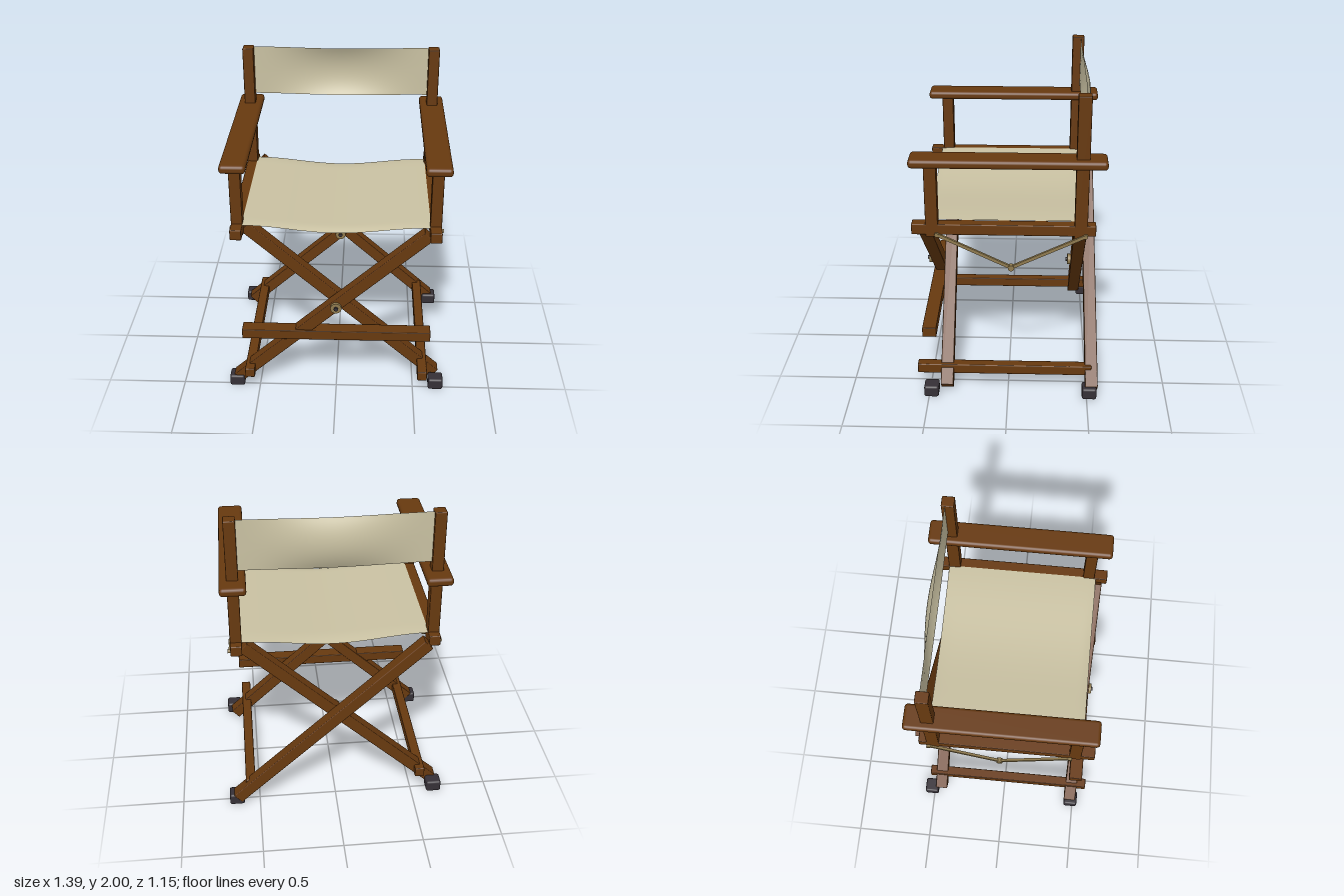
import * as THREE from 'three';
import { RoundedBoxGeometry } from 'three/addons/geometries/RoundedBoxGeometry.js';

const mat = (name, color, side = THREE.FrontSide) => {
  const m = new THREE.MeshStandardMaterial({ color, side });
  m.name = name;
  return m;
};

export function createModel() {
  const wood = mat('brown wood', 0x67390f);
  const canvas = mat('cream canvas', 0xc9c1a2, THREE.DoubleSide);
  const brass = mat('dull brass', 0x8f7a4e);
  const rubber = mat('dark rubber', 0x353036);
  const model = new THREE.Group();
  model.name = 'foldingChair';

  const add = (name, geometry, material, x = 0, y = 0, z = 0) => {
    const mesh = new THREE.Mesh(geometry, material);
    mesh.name = name;
    mesh.position.set(x, y, z);
    model.add(mesh);
    return mesh;
  };

  // Softened box given by its limits on each axis
  const block = (name, material, [x0, x1], [y0, y1], [z0, z1], r = 0.006, seg = 1) =>
    add(name, new RoundedBoxGeometry(x1 - x0, y1 - y0, z1 - z0, seg, r), material,
      (x0 + x1) / 2, (y0 + y1) / 2, (z0 + z1) / 2);

  // Square bar from a to b, w wide and d deep along z
  const bar = (name, material, a, b, w, d) => {
    const from = new THREE.Vector3(...a), to = new THREE.Vector3(...b);
    const along = to.clone().sub(from);
    const mesh = add(name, new RoundedBoxGeometry(w, along.length(), d, 1, 0.005), material);
    const y = along.normalize();
    const x = new THREE.Vector3().crossVectors(y, new THREE.Vector3(0, 0, 1)).normalize();
    const z = new THREE.Vector3().crossVectors(x, y);
    mesh.quaternion.setFromRotationMatrix(new THREE.Matrix4().makeBasis(x, y, z));
    mesh.position.copy(from.add(to).multiplyScalar(0.5));
  };

  // Parts on both sides
  for (const s of [1, -1]) {
    const side = (a, b) => (s > 0 ? [a, b] : [-b, -a]);
    block('backPost', wood, side(0.565, 0.635), [1.12, 2], [-0.47, -0.393]);
    block('frontPost', wood, side(0.565, 0.635), [1.12, 1.59], [0.412, 0.486]);
    block('armrest', wood, side(0.522, 0.678), [1.573, 1.625], [-0.573, 0.57], 0.02, 2);
    block('seatRail', wood, side(0.565, 0.635), [1.135, 1.203], [-0.52, 0.57]);
    block('lowerRail', wood, side(0.525, 0.587), [0.115, 0.18], [-0.53, 0.578]);
    for (const z of [0.484, -0.516])
      block('foot', rubber, side(0.6, 0.696), [0.005, 0.083], [z - 0.046, z + 0.046], 0.014, 2);

    // Folding brace: two thin struts meeting at a hinge
    const x = s * 0.638, hinge = [x, 0.925, -0.02];
    for (const z of [0.42, -0.46]) {
      const end = new THREE.Vector3(x, 1.14, z), mid = new THREE.Vector3(...hinge);
      const strut = add('braceStrut', new THREE.BoxGeometry(0.016, 0.02, end.distanceTo(mid)), brass);
      strut.position.copy(end).add(mid).multiplyScalar(0.5);
      strut.lookAt(end);
      add('bracePin', new THREE.CylinderGeometry(0.013, 0.013, 0.028, 12), brass, x, 1.14, z).rotation.z = Math.PI / 2;
    }
    add('braceHinge', new THREE.CylinderGeometry(0.019, 0.019, 0.03, 16), brass, ...hinge).rotation.z = Math.PI / 2;
  }

  // Crossed legs: s is the side of the foot, z the depth at top and bottom
  const legs = [[-1, 0.497, 0.476], [1, 0.412, 0.386], [-1, -0.43, -0.449], [1, -0.511, -0.53]];
  for (const [s, zTop, zFoot] of legs)
    bar('crossLeg', wood, [-s * 0.56, 1.16, zTop], [s * 0.643, 0.057, zFoot], 0.074, 0.08);

  // Footrest
  block('footrest', wood, [-0.598, 0.598], [0.395, 0.46], [0.45, 0.538], 0.004);

  // Pivot bolts where the legs cross
  for (const z of [0.535, -0.388]) {
    const disc = (name, r, h, dz, m) =>
      add(name, new THREE.CylinderGeometry(r, r, h, 20), m, 0, 0.64, z + dz).rotation.x = Math.PI / 2;
    disc('pivotWasher', 0.035, 0.022, 0, brass);
    disc('pivotBolt', 0.013, 0.026, 0.008, rubber);
  }

  // Sagging seat, curling down at its front and back edges
  const seat = new THREE.PlaneGeometry(1.14, 0.962, 28, 40).rotateX(-Math.PI / 2).translate(0, 0, 0.014);
  let p = seat.attributes.position;
  for (let i = 0; i < p.count; i++) {
    const x = p.getX(i), z = p.getZ(i);
    const sag = (1 + Math.cos(Math.PI * x / 0.57)) / 2;
    const front = Math.max(0, z - 0.43) / 0.065, back = Math.max(0, -z - 0.36) / 0.107;
    p.setY(i, 1.205 - 0.034 * sag - (0.016 * front ** 2 + 0.014 * back ** 2) * (0.4 + 0.6 * sag));
  }
  seat.computeVertexNormals();
  add('seat', seat, canvas);

  // Back sling, bulging backwards in the middle
  const sling = new THREE.PlaneGeometry(1.14, 0.32, 28, 14);
  p = sling.attributes.position;
  for (let i = 0; i < p.count; i++) {
    const x = p.getX(i), v = p.getY(i) / 0.16;
    const bow = (1 + Math.cos(Math.PI * x / 0.57)) / 2;
    p.setXYZ(i, x, 1.838 + v * 0.16 - 0.009 * bow, -0.447 - 0.044 * bow * (1 - v * v));
  }
  sling.computeVertexNormals();
  add('backSling', sling, canvas);

  return model;
}
